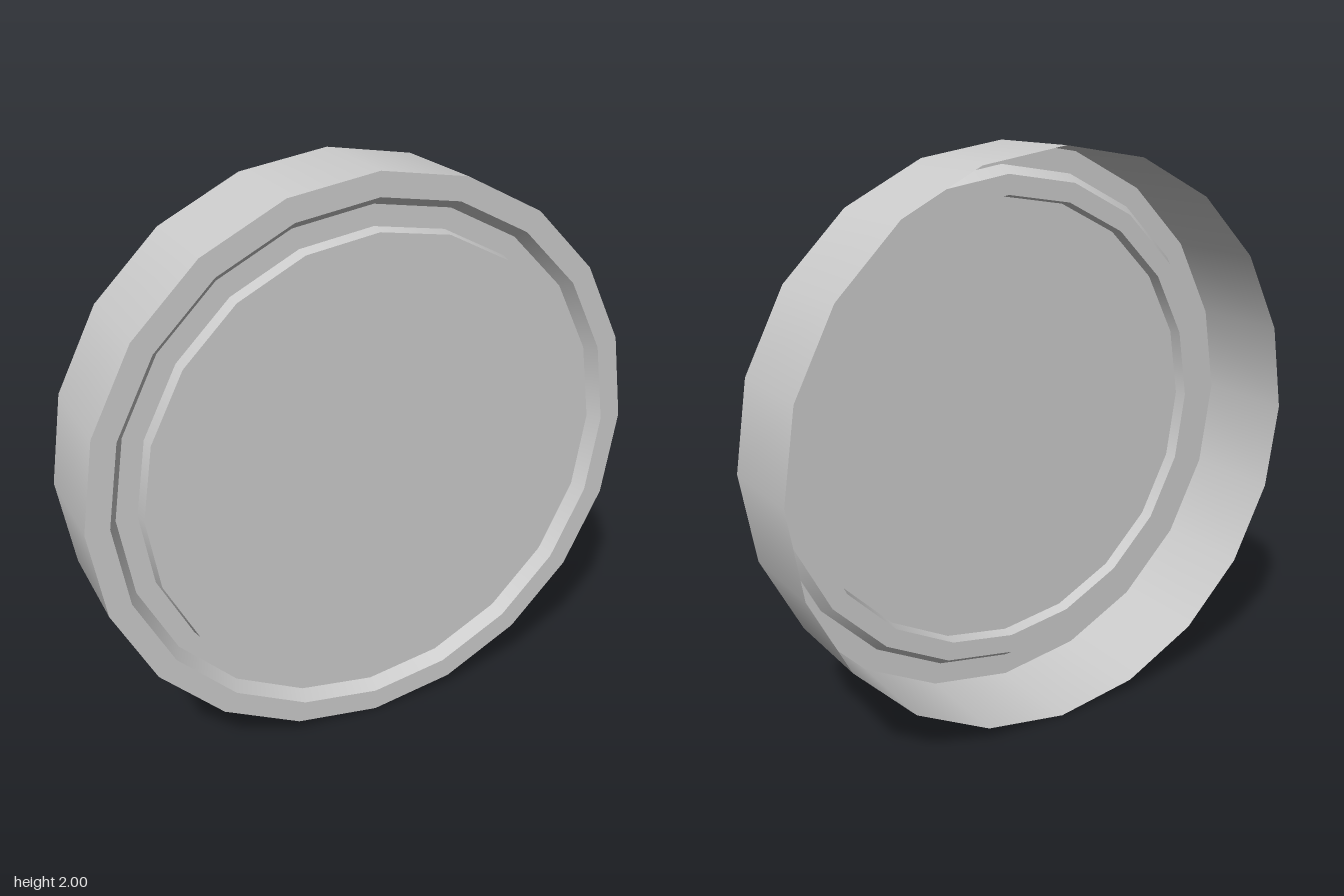
import * as THREE from 'three';

const SIDES = 20;
const FRONT = 0.19;   // front plane, the back edge is at -FRONT
const GROOVE = 0.145; // floor of the ring groove

export function createModel() {
  const group = new THREE.Group();
  group.name = 'cap';
  const gray = new THREE.MeshStandardMaterial({ color: 0xcccccc, side: THREE.DoubleSide });
  gray.name = 'gray';

  // One conical or flat band, given as radius and depth at both ends
  const addBand = (name, r0, z0, r1, z1) => {
    const profile = [new THREE.Vector2(r0, z0), new THREE.Vector2(r1, z1)];
    const geometry = new THREE.LatheGeometry(profile, SIDES).rotateX(Math.PI / 2);
    const mesh = new THREE.Mesh(geometry, gray);
    mesh.name = name;
    mesh.position.y = 1;
    group.add(mesh);
  };

  // Thin open-backed shell, each band kept separate for crisp edges
  addBand('outerWall', 1, -FRONT, 1, FRONT);
  addBand('frontRim', 1, FRONT, 0.92, FRONT);
  addBand('grooveBevel', 0.92, FRONT, 0.89, GROOVE);
  addBand('grooveFloor', 0.89, GROOVE, 0.82, GROOVE);
  addBand('discEdge', 0.82, GROOVE, 0.812, FRONT);

  // Raised centre disc
  const disc = new THREE.Mesh(new THREE.CircleGeometry(0.812, SIDES, Math.PI / 2), gray);
  disc.name = 'centreDisc';
  disc.position.set(0, 1, FRONT);
  group.add(disc);

  return group;
}
